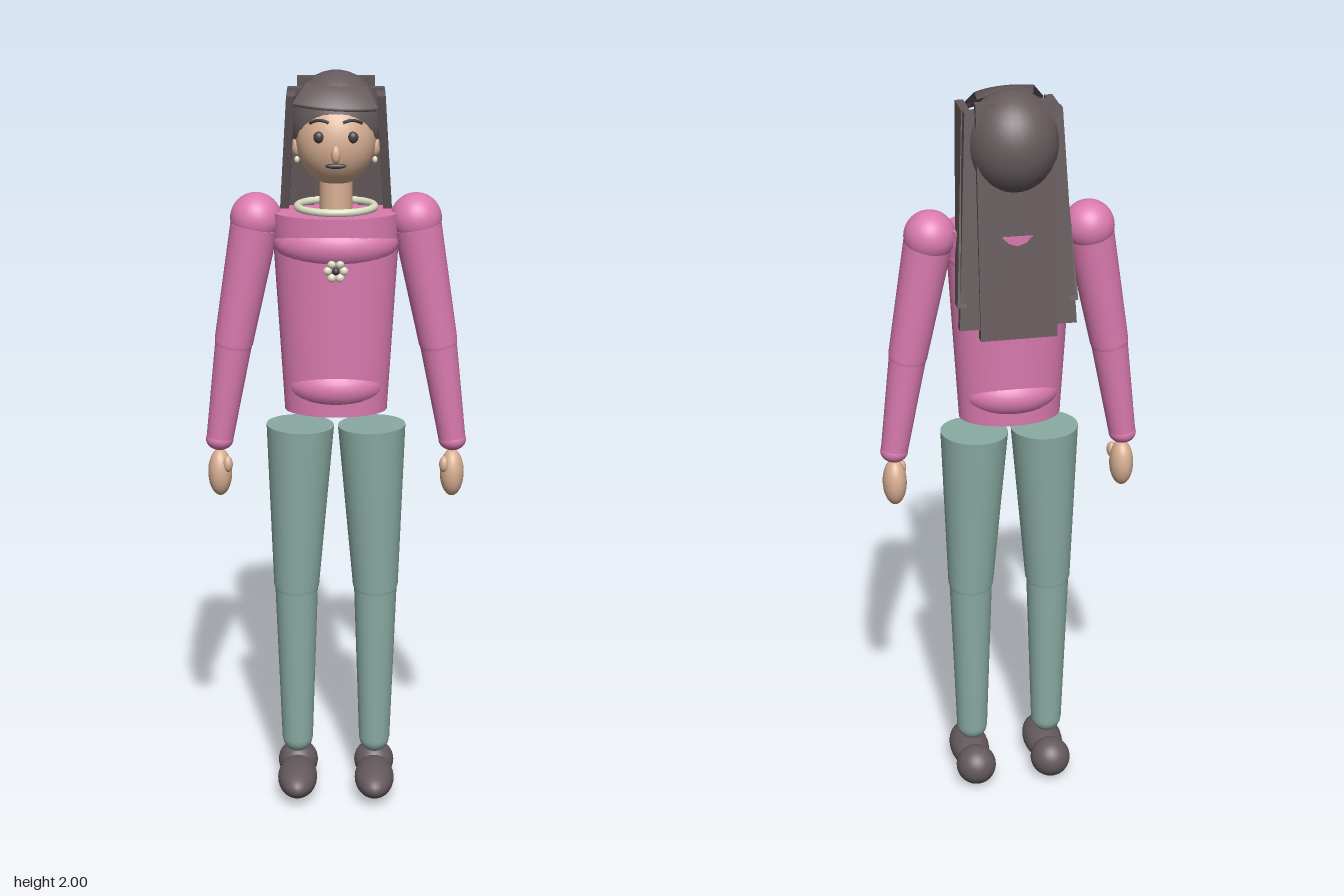
import * as THREE from 'three';

const mat = (name, color) => Object.assign(new THREE.MeshStandardMaterial({ color }), { name });

export function createModel() {
  const root = new THREE.Group();
  root.name = 'doll';
  const pink = mat('pink sweater', 0xdb7bb0);
  const teal = mat('teal trousers', 0x8aaba3);
  const skin = mat('skin', 0xd9b094);
  const hair = mat('dark hair', 0x655a5c);
  const shoe = mat('dark shoe', 0x655a5d);
  const cream = mat('cream trim', 0xdcdfc4);
  const dark = mat('dark features', 0x453e42);

  const add = (name, geometry, material, parent = root) => {
    const mesh = new THREE.Mesh(geometry, material);
    mesh.name = name;
    parent.add(mesh);
    return mesh;
  };
  const ball = (name, material, p, r, parent) => {
    const mesh = add(name, new THREE.SphereGeometry(1, 32, 20), material, parent);
    mesh.position.set(...p);
    mesh.scale.set(...r);
    return mesh;
  };
  // tapered limb between two points
  const limb = (name, material, a, b, ra, rb, parent) => {
    const from = new THREE.Vector3(...a), to = new THREE.Vector3(...b);
    const dir = from.clone().sub(to);
    const mesh = add(name, new THREE.CylinderGeometry(ra, rb, dir.length(), 32), material, parent);
    mesh.position.copy(from).add(to).multiplyScalar(0.5);
    mesh.quaternion.setFromUnitVectors(new THREE.Vector3(0, 1, 0), dir.normalize());
    return mesh;
  };
  // flat lock of hair lofted from a top to a bottom rectangle [x, y, z, width, depth]
  const lock = (name, top, bottom) => {
    const g = new THREE.BoxGeometry(1, 1, 1);
    const pos = g.attributes.position;
    for (let i = 0; i < pos.count; i++) {
      const [x, y, z, w, d] = pos.getY(i) > 0 ? top : bottom;
      pos.setXYZ(i, x + pos.getX(i) * w, y, z + pos.getZ(i) * d);
    }
    g.computeVertexNormals();
    return add(name, g, hair);
  };

  // torso
  const torso = add('torso', new THREE.CylinderGeometry(0.168, 0.135, 0.535, 48), pink);
  torso.position.set(0, 1.373, -0.003);
  torso.scale.z = 0.65;
  ball('chest', pink, [0, 1.56, 0], [0.165, 0.079, 0.115]);
  ball('hips', pink, [0, 1.178, -0.003], [0.134, 0.072, 0.105]);
  const collar = add('collar', new THREE.TorusGeometry(0.1, 0.01, 12, 48), cream);
  collar.rotation.x = Math.PI / 2;
  collar.scale.y = 0.85;
  collar.position.y = 1.653;

  // flower brooch
  const flower = new THREE.Group();
  flower.name = 'flower';
  flower.position.set(0, 1.505, 0.102);
  root.add(flower);
  for (let i = 0; i < 6; i++) {
    const a = (i / 6) * Math.PI * 2;
    ball('petal', cream, [Math.cos(a) * 0.021, Math.sin(a) * 0.021, 0], [0.011, 0.011, 0.009], flower);
  }
  ball('flowerCentre', dark, [0, 0, 0.002], [0.01, 0.01, 0.01], flower);

  // neck, head and face
  limb('neck', skin, [0, 1.75, 0], [0, 1.63, 0], 0.043, 0.043);
  ball('head', skin, [0, 1.83, 0], [0.104, 0.12, 0.105]);
  ball('nose', skin, [0, 1.808, 0.105], [0.012, 0.023, 0.014]);
  const mouth = ball('mouth', dark, [0, 1.777, 0.094], [0.027, 0.007, 0.008]);
  mouth.rotation.x = 0.3;

  for (const s of [-1, 1]) {
    const side = s > 0 ? 'left' : 'right';
    const part = (n) => side + n;
    ball(part('Eye'), dark, [s * 0.043, 1.85, 0.092], [0.014, 0.015, 0.011]);
    const brow = new THREE.QuadraticBezierCurve3(
      new THREE.Vector3(s * 0.018, 1.887, 0.093),
      new THREE.Vector3(s * 0.043, 1.9, 0.09),
      new THREE.Vector3(s * 0.066, 1.883, 0.075));
    add(part('Eyebrow'), new THREE.TubeGeometry(brow, 10, 0.004, 8), dark);
    ball(part('Ear'), skin, [s * 0.1, 1.81, 0.005], [0.014, 0.026, 0.018]);
    ball(part('Earring'), cream, [s * 0.1, 1.78, 0.025], [0.007, 0.009, 0.007]);

    // arm
    const arm = new THREE.Group();
    arm.name = part('Arm');
    root.add(arm);
    const elbow = [s * 0.269, 1.29, 0], wrist = [s * 0.309, 1.025, 0];
    ball('shoulder', pink, [s * 0.208, 1.62, -0.007], [0.067, 0.067, 0.067], arm);
    limb('upperArm', pink, [s * 0.212, 1.6, -0.003], elbow, 0.063, 0.051, arm);
    ball('elbow', pink, elbow, [0.05, 0.05, 0.05], arm);
    limb('forearm', pink, elbow, wrist, 0.049, 0.036, arm);
    ball('cuff', pink, [s * 0.31, 1.02, 0], [0.037, 0.03, 0.037], arm);
    ball('hand', skin, [s * 0.31, 0.928, 0.003], [0.032, 0.065, 0.04], arm);
    ball('thumb', skin, [s * 0.288, 0.957, 0.026], [0.013, 0.022, 0.016], arm);

    // leg
    const leg = new THREE.Group();
    leg.name = part('Leg');
    root.add(leg);
    const knee = [s * 0.107, 0.605, 0], ankle = [s * 0.106, 0.152, 0];
    limb('thigh', teal, [s * 0.095, 1.06, -0.003], knee, 0.09, 0.061, leg);
    ball('knee', teal, knee, [0.059, 0.059, 0.059], leg);
    limb('shin', teal, knee, ankle, 0.058, 0.042, leg);
    ball('ankle', teal, ankle, [0.041, 0.041, 0.041], leg);
    ball('shoeHeel', shoe, [s * 0.106, 0.055, -0.06], [0.055, 0.055, 0.057], leg);
    ball('shoeToe', shoe, [s * 0.106, 0.052, 0.048], [0.054, 0.045, 0.104], leg);

    // side hair
    lock(part('SideLock'), [s * 0.115, 1.95, 0.025, 0.022, 0.09], [s * 0.145, 1.46, -0.1, 0.024, 0.038]);
    lock(part('BackLock'), [s * 0.085, 1.955, -0.045, 0.08, 0.03], [s * 0.11, 1.4, -0.112, 0.085, 0.026]);
  }

  // cap of hair, long back panel and fringe
  ball('hairCap', hair, [0, 1.866, -0.034], [0.12, 0.134, 0.12]);
  lock('backHair', [0, 1.98, -0.065, 0.2, 0.024], [0, 1.37, -0.122, 0.2, 0.024]);
  const profile = [[0.122, 1.958], [0.172, 1.922], [0.18, 1.932], [0.128, 1.978], [0.122, 1.958]]
    .map(([r, y]) => new THREE.Vector2(r, y - 1.95));
  const fringeMat = hair;
  fringeMat.side = THREE.DoubleSide;
  const fringe = add('fringe', new THREE.LatheGeometry(profile, 20, -0.64, 1.28), fringeMat);
  fringe.position.set(0, 1.95, -0.05);
  fringe.rotation.z = -0.06;

  return root;
}
